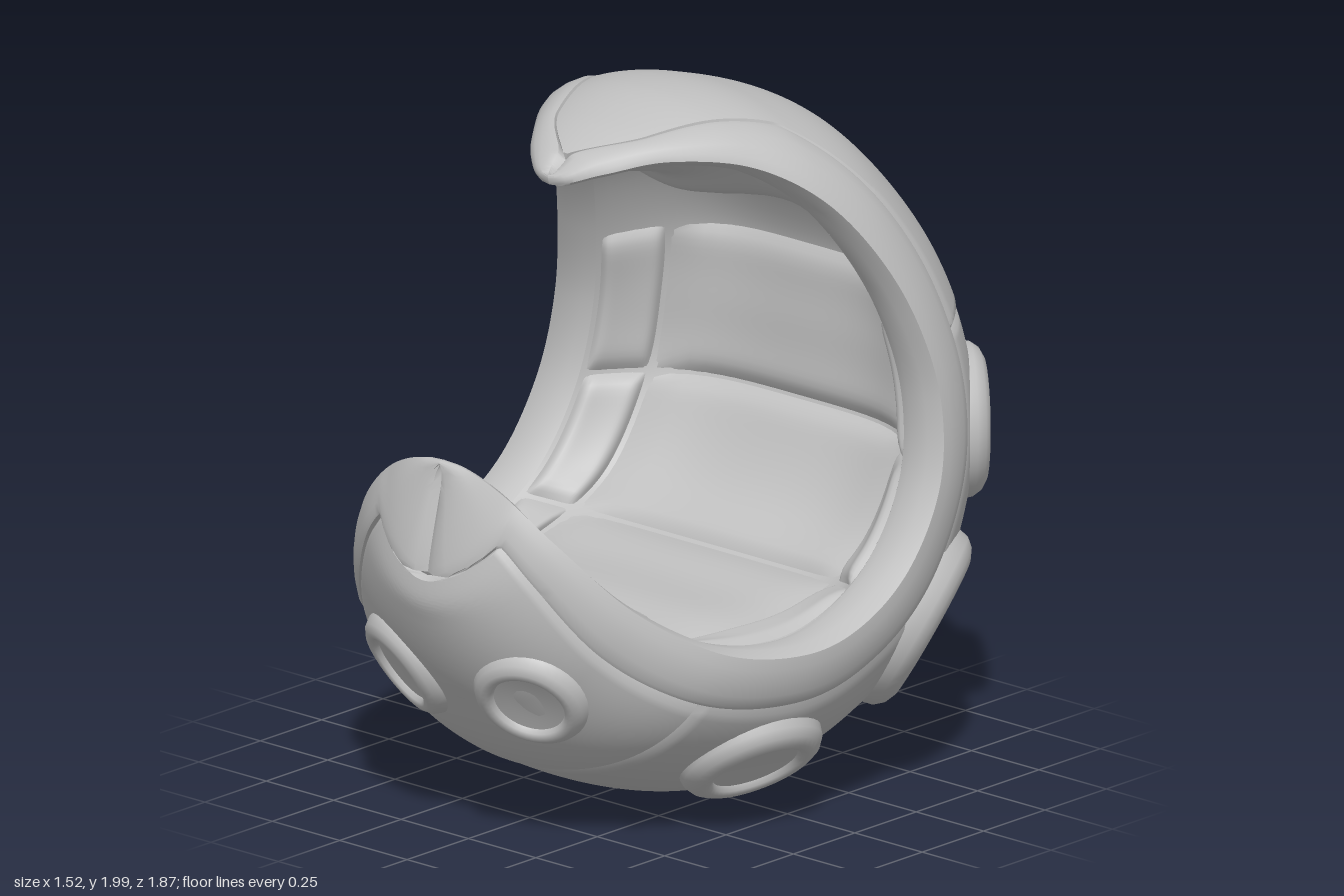
import * as THREE from 'three';
import { toCreasedNormals } from 'three/addons/utils/BufferGeometryUtils.js';

// Stations from the canopy tip, round the back and floor, to the front tip.
// rim (x, y, z) | outer centre line (y, z) | inner centre line (y, z)
const STATIONS = [
  [0, 1.81, 0.42, 1.83, 0.42, 1.81, 0.42],
  [0.14, 1.845, 0.34, 1.89, 0.34, 1.80, 0.31],
  [0.25, 1.87, 0.20, 1.95, 0.20, 1.79, 0.18],
  [0.38, 1.84, 0.02, 1.99, 0.0, 1.74, -0.02],
  [0.50, 1.74, -0.13, 1.96, -0.22, 1.67, -0.12],
  [0.59, 1.58, -0.25, 1.83, -0.50, 1.72, -0.40],
  [0.66, 1.38, -0.34, 1.51, -0.78, 1.42, -0.62],
  [0.71, 1.15, -0.385, 1.15, -0.92, 1.15, -0.64],
  [0.74, 0.92, -0.35, 0.80, -0.92, 0.92, -0.60],
  [0.75, 0.72, -0.22, 0.42, -0.76, 0.66, -0.42],
  [0.75, 0.60, -0.03, 0.14, -0.44, 0.56, -0.10],
  [0.73, 0.56, 0.18, 0.0, 0.05, 0.56, 0.20],
  [0.65, 0.60, 0.42, 0.17, 0.54, 0.54, 0.45],
  [0.51, 0.74, 0.63, 0.42, 0.78, 0.61, 0.65],
  [0.35, 0.93, 0.77, 0.66, 0.91, 0.87, 0.75],
  [0.20, 1.06, 0.83, 0.80, 0.93, 1.03, 0.79],
  [0, 1.12, 0.85, 1.11, 0.86, 1.12, 0.85],
];
const LAST = STATIONS.length - 1;
const { smoothstep, clamp, lerp } = THREE.MathUtils;
const spline = (pick) => new THREE.CatmullRomCurve3(
  STATIONS.map((s) => new THREE.Vector3(...pick(s))), false, 'catmullrom', 0.5);
const rimCurve = spline((s) => [s[0] * s[0], s[1], s[2]]);
const outerCurve = spline((s) => [0, s[3], s[4]]);
const innerCurve = spline((s) => [0, s[5], s[6]]);
const at = (curve, u) => curve.getPoint(clamp(u / LAST, 0, 1));
const CENTRE = new THREE.Vector3(0, 1, 0);

// The rim spline holds the squared half width, which rounds both tips
function rim(u) {
  const r = at(rimCurve, u);
  r.x = Math.sqrt(Math.max(0, r.x));
  return r;
}

// Shell point: k runs from the rim (0) to the centre line (1); fuller underneath
function shell(u, k, side, scale = 1) {
  const r = rim(u);
  const p = r.clone().lerp(at(outerCurve, u), k);
  const taper = 0.3 - 0.18 * smoothstep(u, 8, 10) * (1 - smoothstep(u, 12, 14));
  p.x = side * r.x * Math.sqrt(Math.max(0, 1 - taper * k - (1 - taper) * k * k));
  return p.sub(CENTRE).multiplyScalar(scale).add(CENTRE);
}

// Where the trim band ends; it closes to a V at both tips
function trimEdge(u) {
  const length = rim(u).setX(0).distanceTo(at(outerCurve, u));
  const width = 0.155 - 0.04 * smoothstep(u, 12.5, 14.6);
  const base = Math.min(0.7, width / Math.max(length, 0.01));
  const tip = Math.max(1 - smoothstep(u, 0.8, 2), clamp((u - 14.7) / 0.3, 0, 1));
  return base + (1 - base) * tip;
}

const lipX = (r) => r.x - Math.min(0.14, 0.4 * r.x);

// Lining point: p runs across from -1 to 1
function lining(u, p, lift = 0) {
  const r = rim(u);
  const power = 1.7 + 2.3 * smoothstep(u, 4, 6);
  const q = at(innerCurve, u).lerp(r, Math.pow(Math.abs(p), power));
  q.x = lipX(r) * p;
  const inward = new THREE.Vector3(0, 1.2, 0.2).sub(q).normalize();
  return q.addScaledVector(inward, lift);
}

function grid(nu, nv, fn) {
  const positions = [], index = [];
  for (let i = 0; i <= nu; i++)
    for (let j = 0; j <= nv; j++) positions.push(...fn(i / nu, j / nv).toArray());
  for (let i = 0; i < nu; i++)
    for (let j = 0; j < nv; j++) {
      const a = i * (nv + 1) + j, b = a + nv + 1;
      index.push(a, b, a + 1, b, b + 1, a + 1);
    }
  const g = new THREE.BufferGeometry();
  g.setAttribute('position', new THREE.Float32BufferAttribute(positions, 3));
  g.setIndex(index);
  g.computeVertexNormals();
  return g;
}

export function createModel() {
  const model = new THREE.Group();
  const grey = new THREE.MeshStandardMaterial({ color: 0xc0c0c0, side: THREE.DoubleSide });
  grey.name = 'light grey';
  const add = (name, geometry) => {
    const mesh = new THREE.Mesh(geometry, grey);
    mesh.name = name;
    model.add(mesh);
    return mesh;
  };

  // Outer shell: canopy, body and front panel, each dipping into its seams
  const panel = (name, u0, u1, scale) => add(name, toCreasedNormals(grid(90, 50, (a, b) => {
    const u = u0 + (u1 - u0) * a, p = 2 * b - 1;
    const c = Math.abs(p) * Math.sqrt(1 - trimEdge(u));
    const edge = Math.min(a, 1 - a) * (u1 - u0) < 0.02 || Math.abs(p) > 0.99;
    return shell(u, 1 - c * c, Math.sign(p), edge ? 0.985 : scale);
  }), 0.7));
  panel('canopyPanel', 0.8, 6.5, 1.004);
  panel('bodyShell', 6.5, 12, 0.998);
  panel('frontPanel', 12, 15, 1.004);

  // Raised trim around the opening, rolling over into the lip
  const band = [[1, 0.985], [0.98, 1.006], [0.9, 1.012], [0.7, 1.015], [0.45, 1.016], [0.2, 1.014], [0, 1.008]];
  for (const side of [-1, 1]) {
    add(side > 0 ? 'leftTrim' : 'rightTrim', toCreasedNormals(grid(200, band.length + 2, (a, b) => {
      const u = a * LAST, j = Math.round(b * (band.length + 2));
      if (j < band.length) return shell(u, band[j][0] * trimEdge(u), side, band[j][1]);
      const r = rim(u);
      const q = r.clone();
      q.x = side * lerp(r.x, lipX(r), [0.3, 0.75, 1][j - band.length]);
      const inward = new THREE.Vector3(0, 1.2, 0.25).sub(r).setX(0).normalize();
      return q.addScaledVector(inward, [0.012, 0.012, 0][j - band.length] * Math.min(1, r.x * 4));
    }), 0.7));
  }

  // Inner lining
  add('innerLining', grid(120, 40, (a, b) => lining(a * LAST, 2 * b - 1)));

  // Padded back, seat and side bolsters
  const pad = (name, u0, u1, p0, p1, height) => add(name, grid(20, 20, (a, b) => {
    const puff = (1 - Math.pow(Math.abs(2 * a - 1), 8)) * (1 - Math.pow(Math.abs(2 * b - 1), 8));
    return lining(u0 + (u1 - u0) * a, p0 + (p1 - p0) * b, -0.006 + height * puff);
  }));
  for (const [name, u0, u1, height] of [
    ['upperBackPad', 6.1, 7.9, 0.045], ['lowerBackPad', 7.9, 9.5, 0.045], ['seatPad', 9.5, 12, 0.04]]) {
    pad(name, u0, u1, -0.8, 0.8, height);
    pad(name + 'LeftBolster', u0, u1, 0.8, 0.99, height * 0.8);
    pad(name + 'RightBolster', u0, u1, -0.99, -0.8, height * 0.8);
  }

  // Roll cushion at the front of the seat
  const roll = add('frontRollCushion', new THREE.CapsuleGeometry(0.12, 0.68, 10, 24));
  roll.rotation.z = Math.PI / 2;
  roll.scale.set(0.85, 1, 1.05);
  roll.position.set(0, 0.58, 0.52);

  // Round ports: (y, z) on the side of the shell and radius
  const profile = [[1.06, -0.06], [1.02, -0.012], [0.94, 0.012], [0.82, 0.026], [0.72, 0.028], [0.66, 0.022], [0.62, 0.008], [0.4, 0.004], [0, 0.002]];
  const ports = [['frontPort', 0.45, 0.755, 0.165], ['lowerPort', 0.19, 0.16, 0.2],
    ['largePort', 0.45, -0.49, 0.26], ['rearPort', 0.97, -0.75, 0.21]];
  for (const [name, y, z, radius] of ports) {
    let best = Infinity, bu = 0, bk = 0;
    for (let u = 6; u < 15; u += 0.04)
      for (let k = 0.1; k < 0.99; k += 0.01) {
        const q = shell(u, k, 1);
        const d = Math.hypot(q.y - y, q.z - z);
        if (d < best) { best = d; bu = u; bk = k; }
      }
    const point = shell(bu, bk, 1);
    const du = shell(bu + 0.15, bk, 1).sub(shell(bu - 0.15, bk, 1));
    const dk = shell(bu, bk + 0.01, 1).sub(shell(bu, bk - 0.01, 1));
    const normal = du.cross(dk).normalize();
    if (normal.dot(point.clone().sub(CENTRE)) < 0) normal.negate();
    const geometry = toCreasedNormals(new THREE.LatheGeometry(
      profile.map(([r, h]) => new THREE.Vector2(r * radius, h)), 40), 0.7);
    for (const side of [1, -1]) {
      const port = add((side > 0 ? 'left' : 'right') + name[0].toUpperCase() + name.slice(1), geometry);
      port.position.set(side * point.x, point.y, point.z);
      port.quaternion.setFromUnitVectors(new THREE.Vector3(0, 1, 0),
        new THREE.Vector3(side * normal.x, normal.y, normal.z));
    }
  }
  return model;
}
